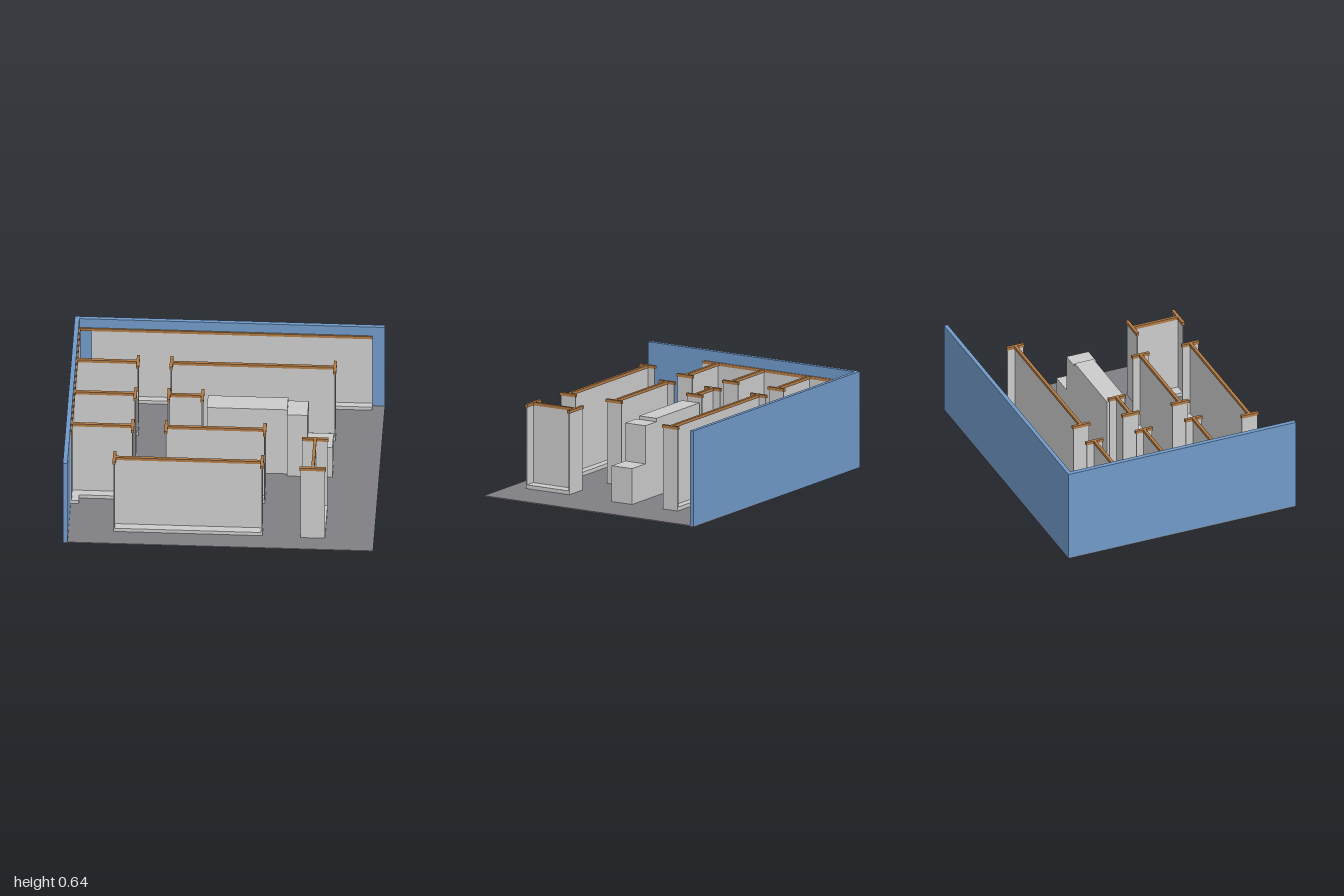
import * as THREE from 'three';

const mat = (name, color) => Object.assign(new THREE.MeshStandardMaterial({ color }), { name });

export function createModel() {
  const wallBlue = mat('wall blue', 0x7099c9);
  const floorGrey = mat('floor grey', 0x807f84);
  const panelGrey = mat('panel grey', 0xcbcbcb);
  const woodBrown = mat('wood brown', 0xb07a45);

  const model = new THREE.Group();
  model.name = 'shopInterior';

  // Box given by its minimum and maximum on each axis
  function box(parent, name, material, x0, x1, y0, y1, z0, z1) {
    const mesh = new THREE.Mesh(new THREE.BoxGeometry(x1 - x0, y1 - y0, z1 - z0), material);
    mesh.position.set((x0 + x1) / 2, (y0 + y1) / 2, (z0 + z1) / 2);
    mesh.name = name;
    parent.add(mesh);
  }

  const FLOOR = 0.008, BASE = 0.033, TOP = 0.546, CAP = 0.566;
  const T = 0.004;  // half thickness of a panel
  const C = 0.01;   // half width of a wooden cap

  // Free-standing display unit running along x: plinth, spine, end panels, caps
  function unit(name, length, halfWidth, ends = [-1, 1]) {
    const g = new THREE.Group();
    g.name = name;
    const h = length / 2;
    box(g, 'plinth', panelGrey, -h, h, FLOOR, BASE, -halfWidth, halfWidth);
    box(g, 'spinePanel', panelGrey, -h, h, BASE, TOP, -T, T);
    const left = ends.includes(-1) ? -h + C : -h;
    box(g, 'spineCap', woodBrown, left, h - C, TOP, CAP, -C, C);
    for (const s of ends) {
      const x = s * h, w = halfWidth;
      box(g, 'endPanel', panelGrey, x - T, x + T, FLOOR, TOP, -w, w);
      box(g, 'endCap', woodBrown, x - C, x + C, TOP, CAP, -w - 0.006, w + 0.006);
    }
    model.add(g);
    return g;
  }

  // Floor and two outer walls
  box(model, 'floor', floorGrey, -1, 1, 0, FLOOR, -0.8, 0.8);
  box(model, 'backWall', wallBlue, -1, 1, 0, 0.636, -0.8, -0.774);
  box(model, 'sideWall', wallBlue, -1, -0.97, 0, 0.636, -0.774, 0.8);

  // Display along the back wall
  box(model, 'backPlinth', panelGrey, -0.86, 0.92, FLOOR, BASE, -0.766, -0.724);
  box(model, 'backPanel', panelGrey, -0.89, 0.92, FLOOR, TOP, -0.774, -0.766);
  box(model, 'backCap', woodBrown, -0.97, 0.92, TOP, CAP, -0.774, -0.764);

  // Display along the side wall
  box(model, 'sidePlinth', panelGrey, -0.964, -0.918, FLOOR, BASE, -0.766, 0.38);
  box(model, 'sidePanel', panelGrey, -0.97, -0.964, FLOOR, TOP, -0.766, 0.38);
  box(model, 'sideCap', woodBrown, -0.97, -0.962, TOP, CAP, -0.764, 0.38);

  // Short units branching off the side wall
  for (const z of [-0.432, -0.084, 0.264]) {
    unit('sideUnit', 0.39, 0.055, [1]).position.set(-0.77, 0, z);
  }

  // Free-standing rows: x start, x end, z
  for (const [x0, x1, z] of [
    [-0.36, 0.695, -0.432],
    [-0.36, -0.142, -0.084],
    [-0.36, 0.276, 0.264],
    [-0.676, 0.276, 0.615],
  ]) {
    unit('rowUnit', x1 - x0, 0.055).position.set((x0 + x1) / 2, 0, z);
  }

  // Unit turned across the room
  const crossUnit = unit('crossUnit', 0.322, 0.08);
  crossUnit.position.set(0.605, 0, 0.513);
  crossUnit.rotation.y = Math.PI / 2;

  // Stepped cabinets
  box(model, 'longCabinet', panelGrey, -0.11, 0.408, FLOOR, 0.52, -0.14, 0.012 - 0.02);
  box(model, 'tallCabinet', panelGrey, 0.408, 0.54, FLOOR, 0.497, -0.14, 0.015);
  box(model, 'lowCabinet', panelGrey, 0.54, 0.7, FLOOR, 0.245, -0.14, 0.015);

  return model;
}
